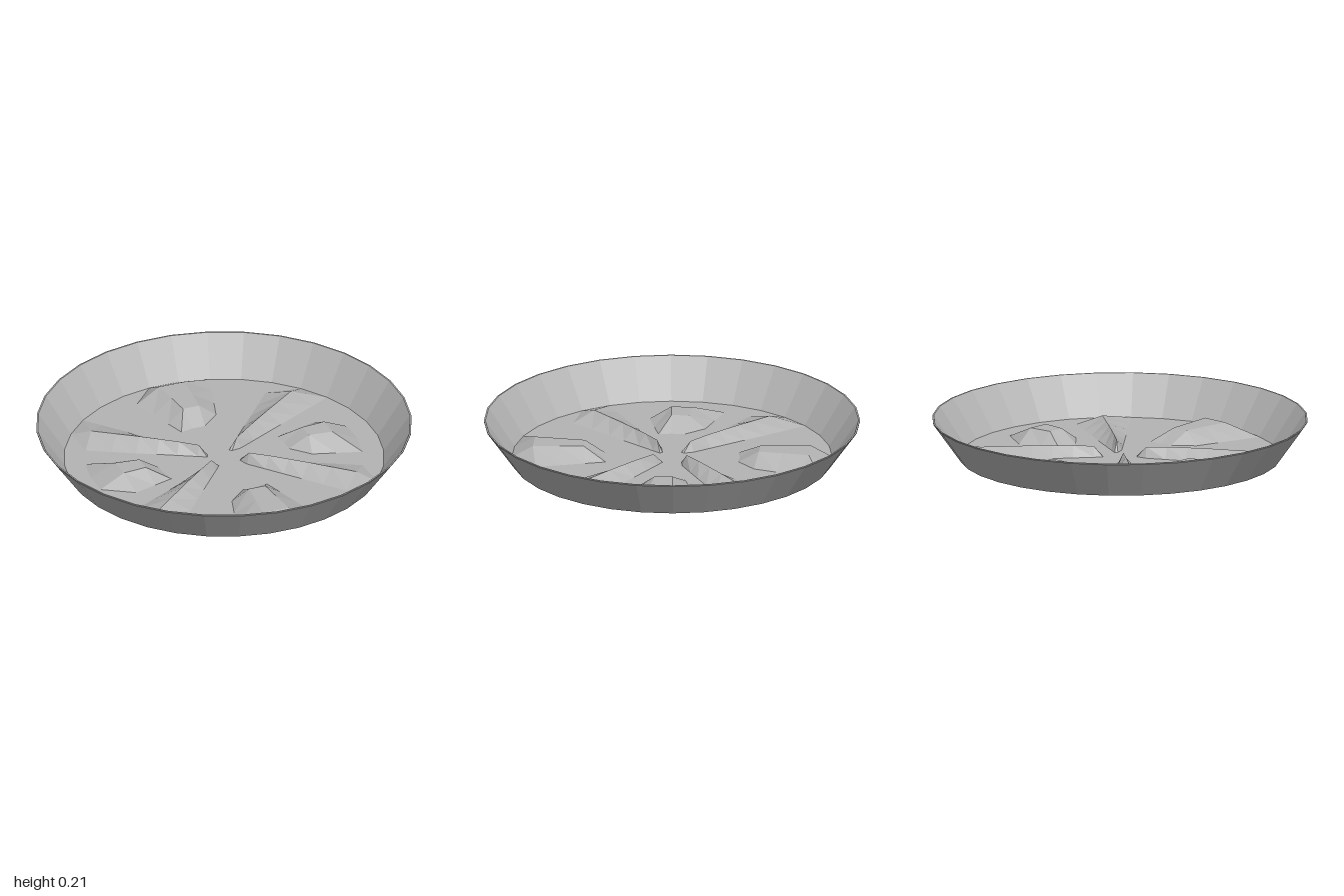
import * as THREE from 'three';

const SEGMENTS = 32;
const STEP = (Math.PI * 2) / SEGMENTS;
const BASE_RADIUS = 0.855;

// Radii of the floor rings; every ridge starts and ends on one of them.
const RINGS = [0, 0.09, 0.14, 0.25, 0.36, 0.47, 0.6, 0.74, BASE_RADIUS];

// Ridge height on each ring.
const LONG_RIDGE = [0, 0, 0.055, 0.057, 0.055, 0.052, 0.046, 0.04, 0];
const SHORT_PAD = [0, 0, 0, 0, 0, 0.065, 0.065, 0, 0];
const WIDE_PAD = [0, 0, 0, 0, 0, 0.065, 0.065, 0.065, 0];

// Raised spokes, counted clockwise from the back; the pattern repeats after half a turn.
const RAISED = new Map();
for (const half of [0, SEGMENTS / 2]) {
  RAISED.set(half, LONG_RIDGE);
  RAISED.set(half + 3, SHORT_PAD);
  RAISED.set(half + 4, SHORT_PAD);
  RAISED.set(half + 7, LONG_RIDGE);
  RAISED.set(half + 11, WIDE_PAD);
  RAISED.set(half + 12, WIDE_PAD);
}

// Thin floor sheet, embossed with long ridges and pads
function floorGeometry() {
  const positions = [];
  const indices = [];
  RINGS.forEach((r, ring) => {
    for (let i = 0; i < SEGMENTS; i++) {
      const profile = RAISED.get(i);
      const y = profile ? profile[ring] : 0;
      positions.push(r * Math.sin(i * STEP), y, -r * Math.cos(i * STEP));
    }
  });
  for (let ring = 0; ring < RINGS.length - 1; ring++) {
    for (let i = 0; i < SEGMENTS; i++) {
      const next = (i + 1) % SEGMENTS;
      const a = ring * SEGMENTS + i;
      const b = ring * SEGMENTS + next;
      const c = b + SEGMENTS;
      const d = a + SEGMENTS;
      if (ring > 0) indices.push(a, b, c);
      indices.push(a, c, d);
    }
  }
  const geometry = new THREE.BufferGeometry();
  geometry.setAttribute('position', new THREE.Float32BufferAttribute(positions, 3));
  geometry.setIndex(indices);
  geometry.computeVertexNormals();
  return geometry;
}

export function createModel() {
  const group = new THREE.Group();
  group.name = 'saucer';

  const grey = new THREE.MeshStandardMaterial({
    color: 0xb4b4b4,
    flatShading: true,
    side: THREE.DoubleSide,
  });
  grey.name = 'light grey';

  const floor = new THREE.Mesh(floorGeometry(), grey);
  floor.name = 'embossedFloor';
  group.add(floor);

  // Flared wall with a narrow rim
  const profile = [
    [BASE_RADIUS, 0],
    [1, 0.205],
    [1, 0.21],
    [0.992, 0.21],
    [BASE_RADIUS - 0.003, 0.002],
  ].map(([r, y]) => new THREE.Vector2(r, y));
  const wall = new THREE.Mesh(new THREE.LatheGeometry(profile, SEGMENTS), grey);
  wall.name = 'flaredWall';
  group.add(wall);

  return group;
}
